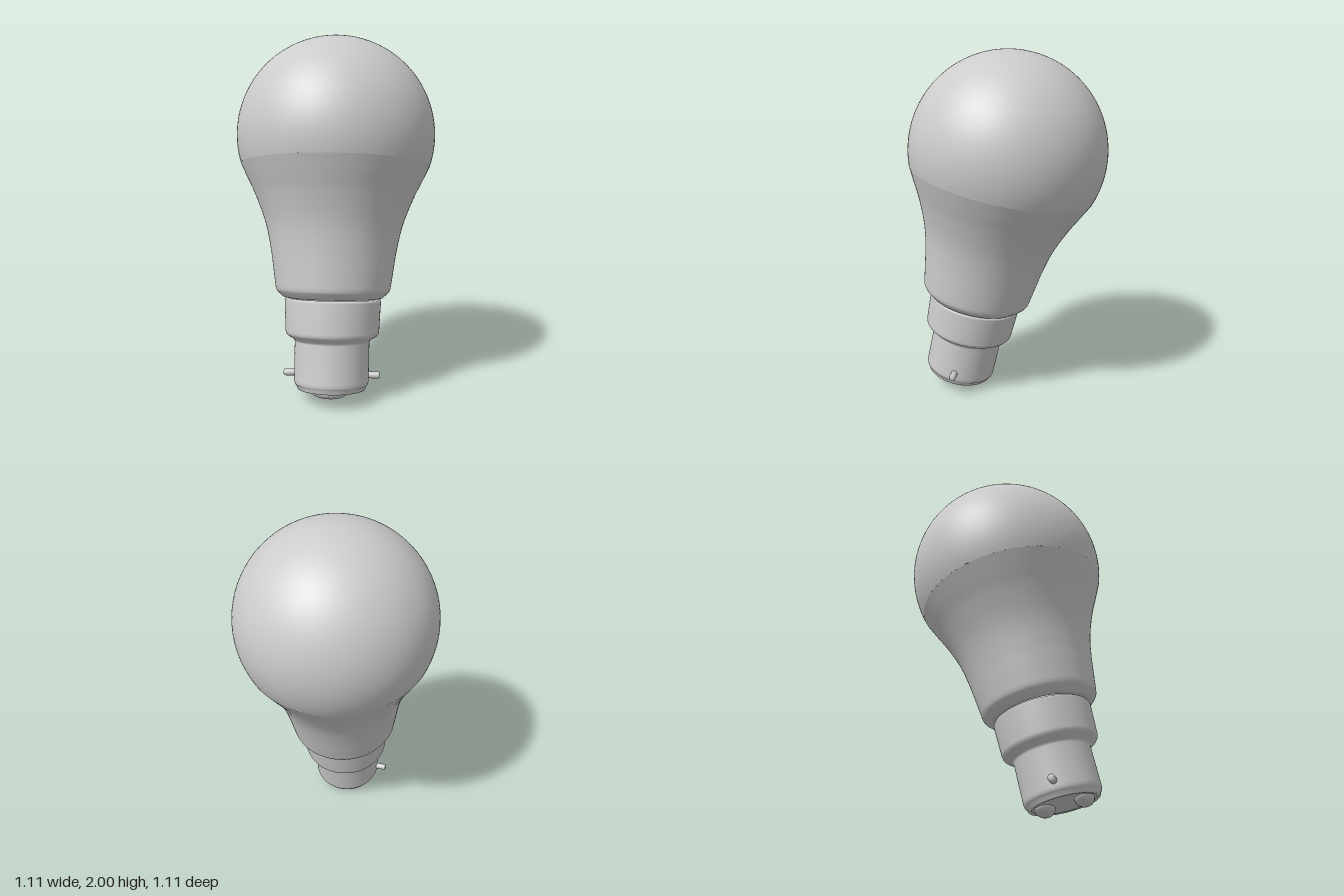
import * as THREE from 'three';

const material = new THREE.MeshStandardMaterial({ color: 0xcccccc, side: THREE.DoubleSide });
const vec = ([r, y]) => new THREE.Vector2(r, y);

export function createModel() {
  const bulb = new THREE.Group();
  bulb.name = 'lightBulb';

  const add = (name, geometry) => {
    const mesh = new THREE.Mesh(geometry, material);
    mesh.name = name;
    bulb.add(mesh);
    return mesh;
  };
  const lathe = (name, points) => add(name, new THREE.LatheGeometry(points, 96));

  // Glass dome: part of a sphere above the seam, overlapping the tangent body
  const radius = 0.557, centre = 1.409, seam = 1.238;
  const start = Math.asin((seam - centre) / radius);
  const dome = [];
  for (let i = 0; i <= 40; i++) {
    const a = start + (Math.PI / 2 - start) * i / 40;
    dome.push(new THREE.Vector2(Math.max(0, radius * Math.cos(a)), centre + radius * Math.sin(a)));
  }
  lathe('dome', dome);

  // Flared housing with a chamfered lower rim
  const flare = new THREE.SplineCurve([
    [0.322, 0.562], [0.335, 0.65], [0.35, 0.75], [0.372, 0.86], [0.401, 0.955],
    [0.448, 1.07], [0.49, 1.155], [0.53, seam],
  ].map(vec)).getPoints(40);
  lathe('housing', [...[[0.25, 0.5], [0.272, 0.5], [0.28, 0.503], [0.312, 0.533], [0.319, 0.545]].map(vec), ...flare]);

  // Metal cap: straight barrel, stepped shoulder and wide collar
  lathe('metalCap', [
    [0.168, 0.003], [0.175, -0.004], [0.185, -0.004], [0.191, 0.002], [0.194, 0.018],
    [0.202, 0.023], [0.206, 0.035], [0.207, 0.05], [0.208, 0.255], [0.213, 0.268],
    [0.25, 0.292], [0.258, 0.302], [0.261, 0.316], [0.269, 0.48], [0.266, 0.49], [0.25, 0.495],
  ].map(vec));

  // Insulating disc closing the bottom
  lathe('insulator', [[0, 0], [0.172, 0], [0.172, 0.02]].map(vec));

  // Two oval solder contacts under the disc
  for (const side of [-1, 1]) {
    const contact = add('contact', new THREE.SphereGeometry(1, 32, 16));
    contact.scale.set(0.1, 0.041, 0.052);
    contact.position.set(0, 0, side * 0.105);
  }

  // Bayonet pins on both sides, with slightly rounded ends
  for (const side of [-1, 1]) {
    const pin = add('bayonetPin', new THREE.LatheGeometry(
      [[0, 0], [0.019, 0], [0.019, 0.08], [0.015, 0.087], [0, 0.087]].map(vec), 24));
    pin.rotation.z = -side * Math.PI / 2;
    pin.position.set(side * 0.18, 0.077, 0);
  }

  // The whole bulb leans back from its base
  bulb.rotation.x = -THREE.MathUtils.degToRad(12.5);
  bulb.position.set(0, 0.0675, 0.305);

  const model = new THREE.Group();
  model.add(bulb);
  return model;
}
